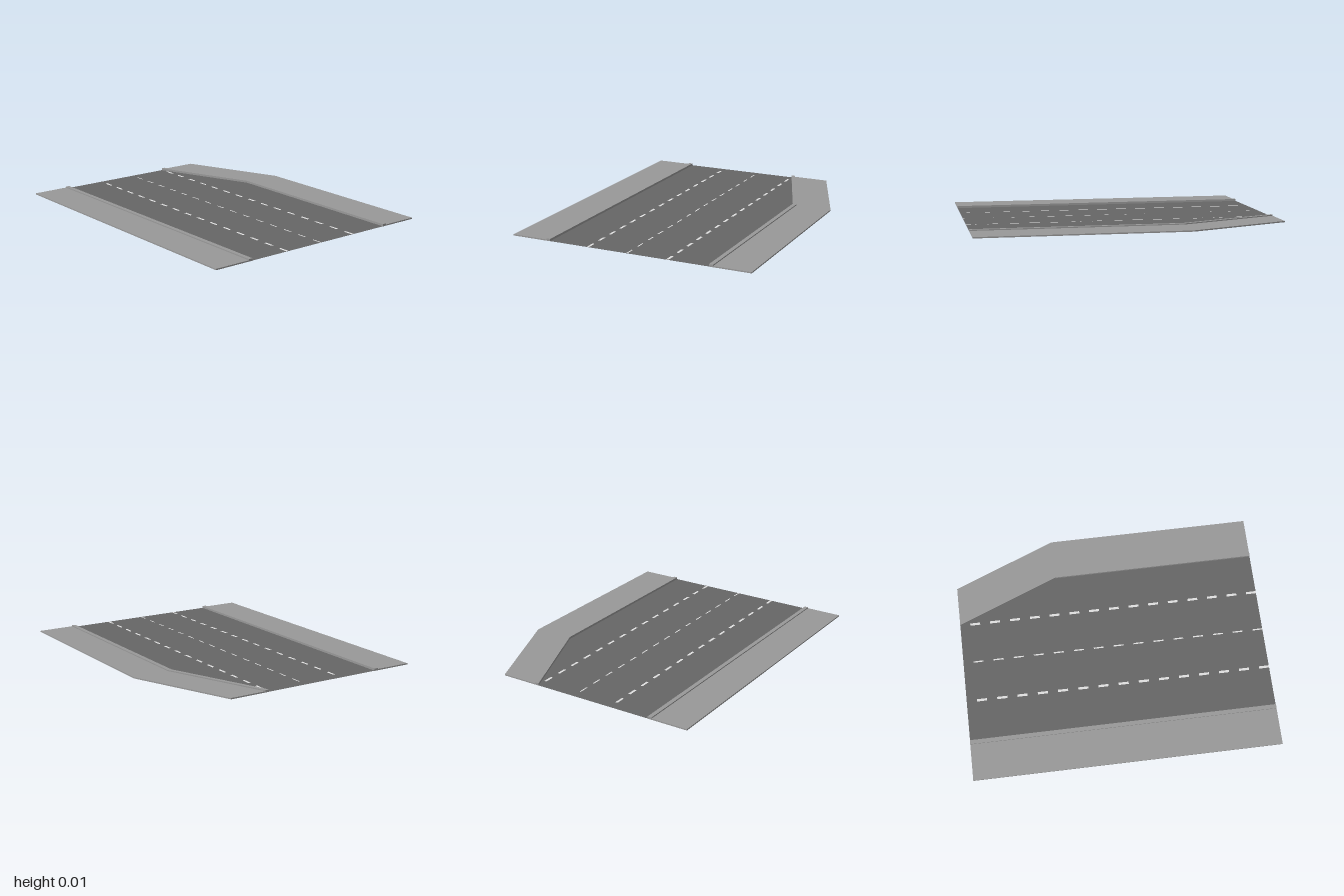
import * as THREE from 'three';

const mat = (name, color) => {
  const m = new THREE.MeshStandardMaterial({ color, side: THREE.DoubleSide });
  m.name = name;
  return m;
};

// Flat horizontal polygon from [x, z] corners
function flat(points, y) {
  const shape = new THREE.Shape(points.map(([x, z]) => new THREE.Vector2(x, -z)));
  return new THREE.ShapeGeometry(shape).rotateX(-Math.PI / 2).translate(0, y, 0);
}

// Sweeps an [x, y] profile, open underneath, along [z, xShift] stations and caps both ends
function sweep(profile, stations) {
  const pos = [];
  const quad = (a, b, c, d) => pos.push(...a, ...b, ...c, ...a, ...c, ...d);
  const at = ([x, y], [z, shift]) => [x + shift, y, z];
  for (let s = 0; s < stations.length - 1; s++) {
    for (let i = 0; i < profile.length - 1; i++) {
      quad(at(profile[i], stations[s]), at(profile[i], stations[s + 1]),
        at(profile[i + 1], stations[s + 1]), at(profile[i + 1], stations[s]));
    }
  }
  const outline = profile.map(([x, y]) => new THREE.Vector2(x, y));
  const tris = THREE.ShapeUtils.triangulateShape(outline, []);
  const front = stations[0], back = stations[stations.length - 1];
  for (const [a, b, c] of tris) {
    pos.push(...at(profile[a], front), ...at(profile[b], front), ...at(profile[c], front));
    pos.push(...at(profile[a], back), ...at(profile[c], back), ...at(profile[b], back));
  }
  const g = new THREE.BufferGeometry();
  g.setAttribute('position', new THREE.Float32BufferAttribute(pos, 3));
  g.computeVertexNormals();
  return g;
}

export function createModel() {
  const model = new THREE.Group();
  model.name = 'narrowingRoad';
  const asphalt = mat('asphalt', 0x666666);
  const concrete = mat('concrete', 0x999999);
  const paint = mat('lanePaint', 0xe0e0e0);

  const add = (name, geometry, material, parent = model) => {
    const mesh = new THREE.Mesh(geometry, material);
    mesh.name = name;
    parent.add(mesh);
  };

  const inner = 0.533, outer = 0.8, bend = -0.333, taper = -0.267;

  // Road surface, narrowing at the back on the left
  add('roadSurface', flat([
    [-inner, 1], [inner, 1], [inner, bend], [inner + taper, -1], [-inner, -1],
  ], 0.001), asphalt);

  // Pavements with a raised kerb on the road side
  const profile = [
    [outer, 0], [outer, 0.008], [inner + 0.027, 0.008],
    [inner + 0.027, 0.015], [inner, 0.015], [inner, 0],
  ];
  const mirrored = profile.map(([x, y]) => [-x, y]).reverse();
  add('leftPavement', sweep(profile, [[1, 0], [bend, 0], [-1, taper]]), concrete);
  add('rightPavement', sweep(mirrored, [[1, 0], [-1, 0]]), concrete);

  // Three dashed lane lines, the middle one thinner
  const count = 15, pitch = 2 / count;
  for (const [name, x, width] of [
    ['rightLaneLine', -0.267, 0.016], ['centreLine', 0, 0.009], ['leftLaneLine', 0.267, 0.016],
  ]) {
    const line = new THREE.Group();
    line.name = name;
    for (let i = 0; i < count; i++) {
      const z = 1 - i * pitch, w = width / 2;
      add('dash', flat([
        [x - w, z], [x + w, z], [x + w, z - pitch / 2], [x - w, z - pitch / 2],
      ], 0.003), paint, line);
    }
    model.add(line);
  }
  return model;
}
